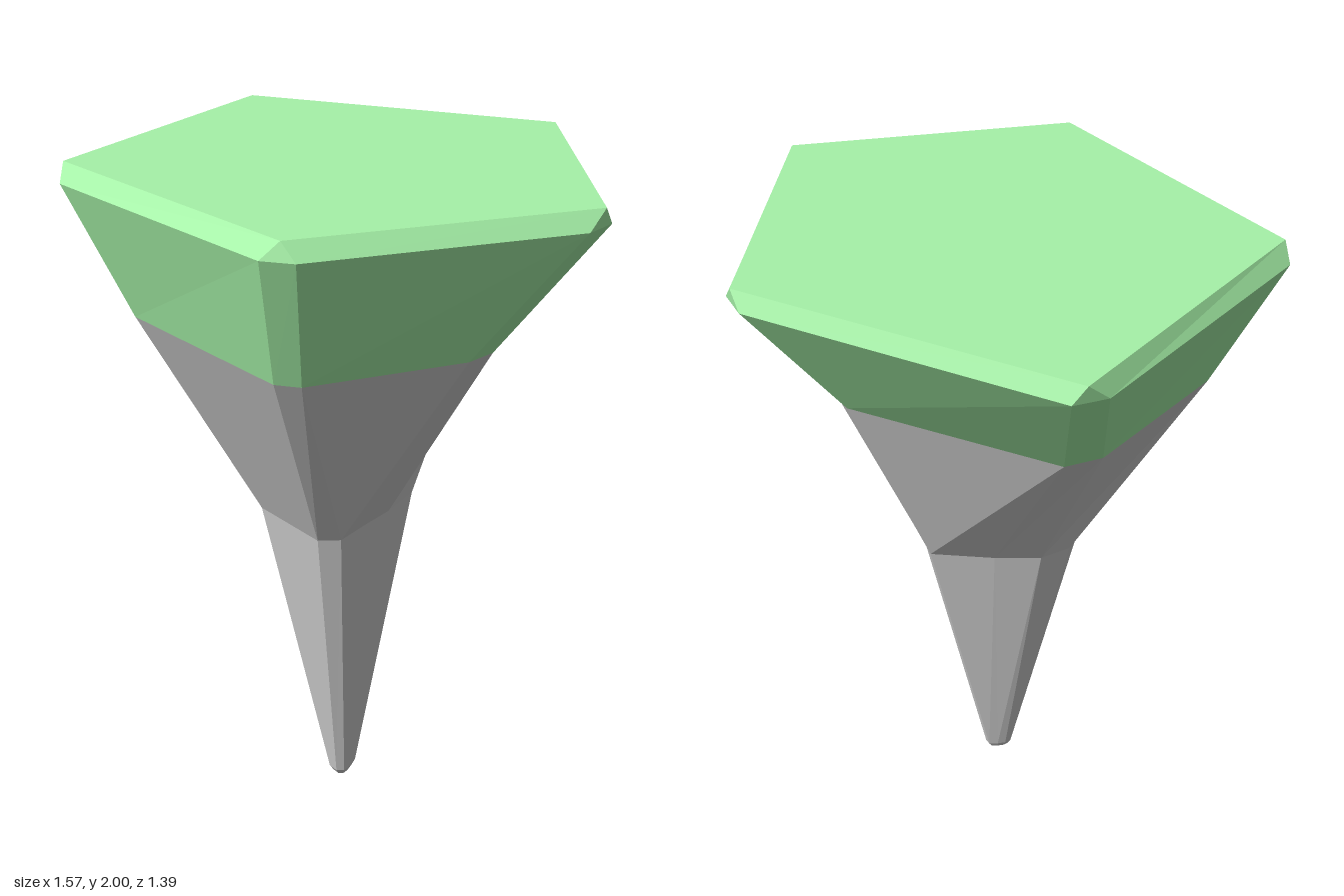
import * as THREE from 'three';

// Cross-sections: [x, z] pairs running back, right, front right, front left, left;
// every corner is bevelled, so it has two points.
const corners = [[0.075, -0.7], [0.775, -0.175], [0.48, 0.615], [-0.46, 0.66], [-0.78, -0.2]];
const top = corners.flatMap((c) => [c, c]); // the bevels close to sharp corners
const rim = [[0.03, -0.7], [0.13, -0.69], [0.765, -0.21], [0.785, -0.11], [0.52, 0.6],
  [0.445, 0.655], [-0.425, 0.695], [-0.505, 0.645], [-0.785, -0.14], [-0.765, -0.235]];
const seam = [[0.03, -0.415], [0.12, -0.405], [0.53, -0.04], [0.54, 0.055], [0.4, 0.5],
  [0.34, 0.545], [-0.3, 0.56], [-0.38, 0.51], [-0.535, 0.04], [-0.515, -0.07]];
const neck = [[0.045, -0.155], [0.09, -0.145], [0.14, -0.01], [0.165, 0.1], [0.195, 0.215],
  [0.155, 0.27], [-0.115, 0.275], [-0.155, 0.22], [-0.15, 0.12], [-0.075, 0]];
const tip = [[0.045, 0.06], [0.065, 0.06], [0.08, 0.09], [0.086, 0.105], [0.09, 0.125],
  [0.075, 0.145], [0.04, 0.145], [0.02, 0.13], [0.021, 0.11], [0.03, 0.085]];
const base = tip.map(([x, z]) => [0.055 + (x - 0.055) * 0.7, 0.105 + (z - 0.105) * 0.7]);

const at = (points, y) => points.map(([x, z]) => new THREE.Vector3(x, y, z));

// Skin a stack of rings from bottom to top, with an optional cap at either end
function loft(name, color, rings, capBottom, capTop) {
  const pos = [];
  const tri = (a, b, c) => {
    if (a.equals(b) || b.equals(c) || a.equals(c)) return;
    for (const p of [a, b, c]) pos.push(p.x, p.y, p.z);
  };
  const n = rings[0].length;
  const centre = (ring) => ring.reduce((s, p) => s.add(p), new THREE.Vector3()).divideScalar(n);
  const last = rings[rings.length - 1];
  const low = centre(rings[0]);
  const high = centre(last);
  for (let i = 0; i < n; i++) {
    const j = (i + 1) % n;
    for (let r = 0; r + 1 < rings.length; r++) {
      const a = rings[r];
      const b = rings[r + 1];
      tri(a[j], a[i], b[i]);
      tri(a[j], b[i], b[j]);
    }
    if (capBottom) tri(low, rings[0][i], rings[0][j]);
    if (capTop) tri(high, last[j], last[i]);
  }
  const geometry = new THREE.BufferGeometry();
  geometry.setAttribute('position', new THREE.Float32BufferAttribute(pos, 3));
  geometry.computeVertexNormals();
  const mesh = new THREE.Mesh(geometry, new THREE.MeshStandardMaterial({ color, flatShading: true }));
  mesh.name = name;
  return mesh;
}

export function createModel() {
  const model = new THREE.Group();
  model.name = 'floatingIsland';
  // Rock spike hanging below
  model.add(loft('rock', 0xcccccc, [at(base, 0), at(tip, 0.02), at(neck, 0.945), at(seam, 1.57)], true, false));
  // Flat green crown with a bevelled rim
  model.add(loft('grass', 0xa6f2a8, [at(seam, 1.57), at(rim, 1.95), at(top, 2)], false, true));
  return model;
}
